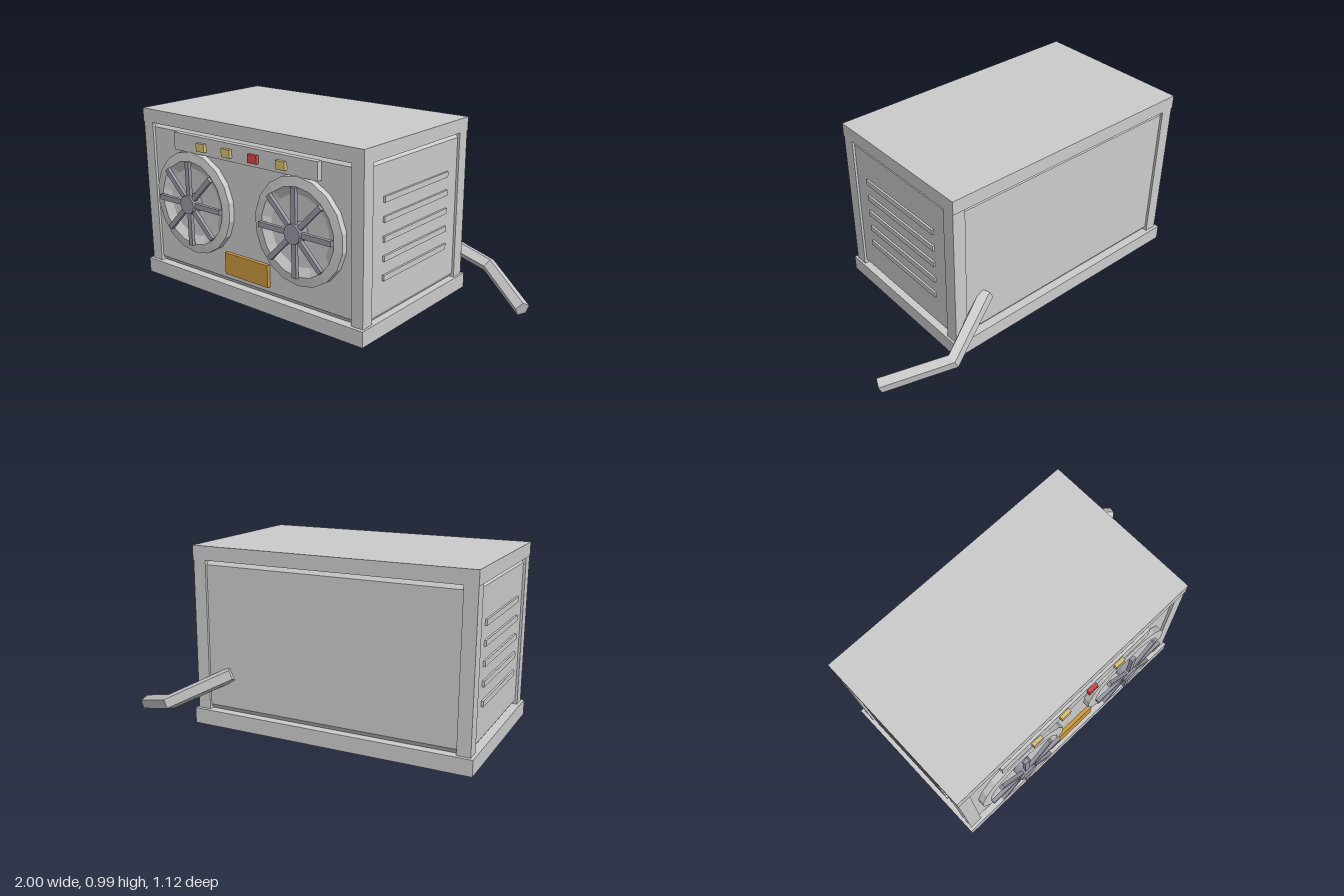
import * as THREE from 'three';

const mat = (color) => new THREE.MeshStandardMaterial({ color, flatShading: true });
const grey = mat(0xcccccc);
const steel = mat(0x9898a4);
const yellow = mat(0xd8c074);
const red = mat(0xd84848);
const brass = mat(0xcc9a40);

function add(parent, name, geometry, material = grey) {
  const mesh = new THREE.Mesh(geometry, material);
  mesh.name = name;
  parent.add(mesh);
  return mesh;
}

// Box given by its lower and upper limits on each axis
function slab(parent, name, x0, x1, y0, y1, z0, z1, material) {
  const mesh = add(parent, name, new THREE.BoxGeometry(x1 - x0, y1 - y0, z1 - z0), material);
  mesh.position.set((x0 + x1) / 2, (y0 + y1) / 2, (z0 + z1) / 2);
  return mesh;
}

// Inner housing whose walls slope inward at the top and bottom
function housing() {
  const geometry = new THREE.BoxGeometry(1.505, 3, 0.88, 1, 3, 1);
  const p = geometry.attributes.position;
  const rows = [0.1, 0.135, 0.9, 0.928];
  for (let i = 0; i < p.count; i++) {
    const row = Math.round(p.getY(i) + 1.5);
    const inset = row === 0 || row === 3 ? 0.022 : 0;
    p.setXYZ(i, p.getX(i) - Math.sign(p.getX(i)) * inset, rows[row],
      p.getZ(i) - Math.sign(p.getZ(i)) * inset);
  }
  geometry.computeVertexNormals();
  return geometry;
}

function fan(x) {
  const group = new THREE.Group();
  group.name = 'fan';
  group.position.set(x, 0.525, 0);

  // Faceted rim with a shallow dish inside
  const profile = [[0.285, 0.475], [0.285, 0.516], [0.235, 0.522], [0.19, 0.497], [0, 0.49]]
    .map(([r, z]) => new THREE.Vector2(r, z));
  const rim = add(group, 'fanRim', new THREE.LatheGeometry(profile, 18),
    new THREE.MeshStandardMaterial({ color: 0xcccccc, flatShading: true, side: THREE.DoubleSide }));
  rim.rotation.x = Math.PI / 2;

  // Four full-width bars make eight spokes
  for (let i = 0; i < 4; i++) {
    const bar = add(group, 'fanSpoke', new THREE.BoxGeometry(0.47, 0.028, 0.02), steel);
    bar.position.z = 0.536 + i * 0.0005;
    bar.rotation.z = i * Math.PI / 4;
  }
  const hub = add(group, 'fanHub', new THREE.CylinderGeometry(0.052, 0.052, 0.065, 12), steel);
  hub.rotation.x = Math.PI / 2;
  hub.position.z = 0.5265;
  return group;
}

// Five-sided cable with one sharp bend and closed ends
function cable() {
  const group = new THREE.Group();
  group.name = 'cable';
  const elbow = new THREE.Vector3(0.66, 0.155, -0.525);
  const tip = new THREE.Vector3(0.973, 0.042, -0.331);
  const start = new THREE.Vector3(-0.285, 0.15, 0.115).setLength(elbow.distanceTo(tip)).add(elbow);
  const path = new THREE.CurvePath();
  path.add(new THREE.LineCurve3(start, elbow));
  path.add(new THREE.LineCurve3(elbow, tip));
  const tube = new THREE.TubeGeometry(path, 2, 0.042, 5, false);
  add(group, 'cableSleeve', tube);

  for (const ring of [0, 2]) {
    const corners = [];
    for (let i = 0; i < 5; i++) {
      corners.push(new THREE.Vector3().fromBufferAttribute(tube.attributes.position, ring * 6 + i));
    }
    const points = [];
    for (let i = 1; i < 4; i++) points.push(corners[0], corners[i], corners[i + 1]);
    const cap = new THREE.BufferGeometry().setFromPoints(points);
    cap.computeVertexNormals();
    add(group, 'cableEnd', cap,
      new THREE.MeshStandardMaterial({ color: 0xcccccc, flatShading: true, side: THREE.DoubleSide }));
  }
  return group;
}

export function createModel() {
  const model = new THREE.Group();
  model.name = 'generator';

  // Frame: base, lid and four corner posts
  slab(model, 'base', -1, 0.56, 0.025, 0.11, -0.43, 0.515);
  slab(model, 'lid', -0.985, 0.55, 0.925, 1, -0.415, 0.5);
  for (const [x0, x1] of [[-0.983, -0.912], [0.476, 0.548]]) {
    for (const [z0, z1] of [[-0.411, -0.338], [0.424, 0.497]]) {
      slab(model, 'cornerPost', x0, x1, 0.105, 0.93, z0, z1);
    }
  }

  add(model, 'housing', housing()).position.set(-0.2175, 0, 0.0425);

  // Raised slats on both side walls
  for (let i = 0; i < 5; i++) {
    const y = 0.32 + i * 0.1005;
    slab(model, 'leftSlat', 0.52, 0.546, y - 0.015, y + 0.015, -0.24, 0.325);
    slab(model, 'rightSlat', -0.981, -0.955, y - 0.015, y + 0.015, -0.24, 0.325);
  }

  // Control strip with four buttons
  slab(model, 'controlStrip', -0.722, 0.285, 0.806, 0.902, 0.46, 0.511);
  [-0.502, -0.314, -0.126, 0.062].forEach((x, i) => {
    slab(model, 'button', x - 0.03, x + 0.03, 0.828, 0.872, 0.5, 0.53, i === 2 ? red : yellow);
  });

  slab(model, 'plate', -0.375, -0.065, 0.165, 0.288, 0.47, 0.503, brass);
  model.add(fan(-0.595), fan(0.157), cable());
  return model;
}
